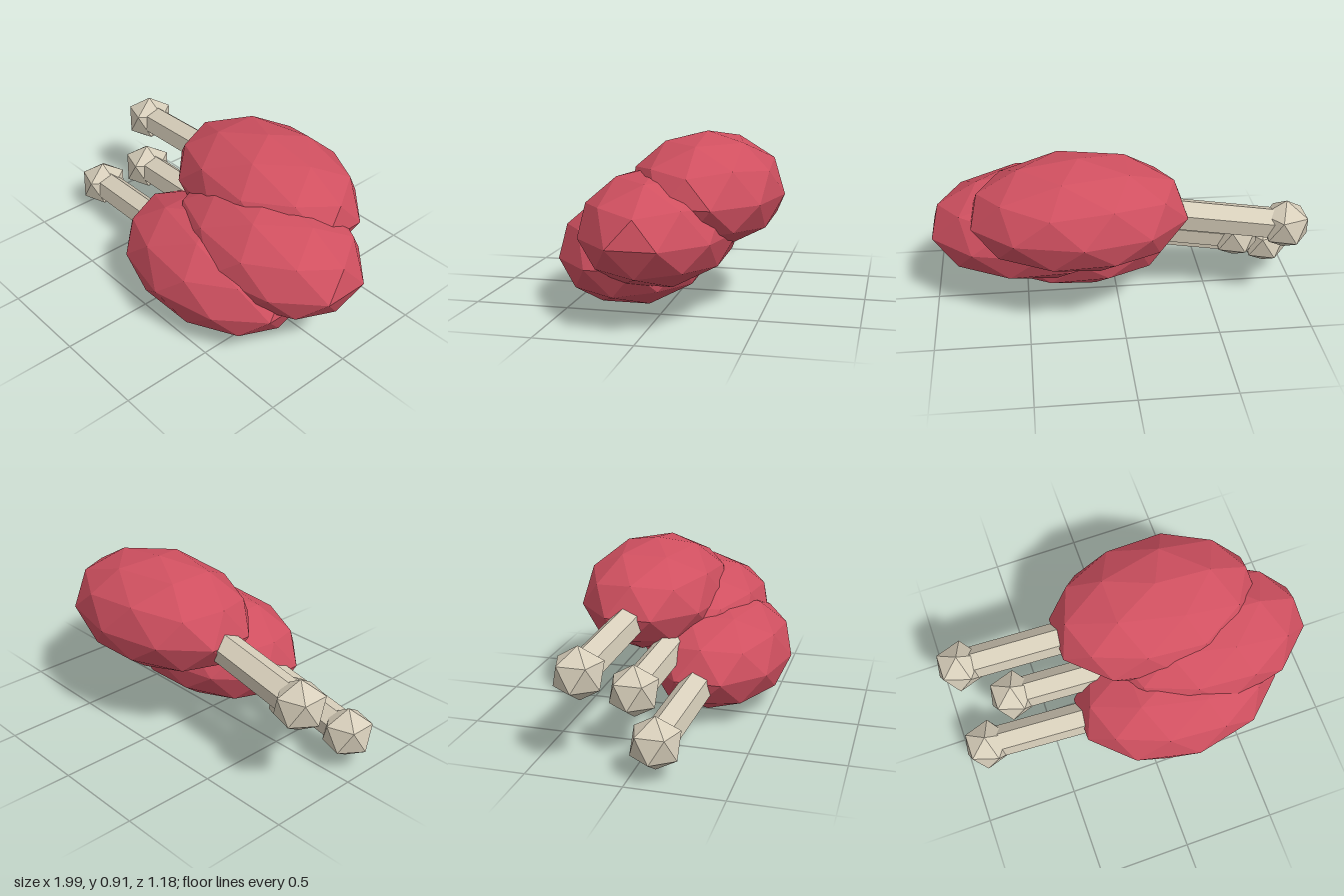
import * as THREE from 'three';

const meat = new THREE.MeshStandardMaterial({ color: 0xd05060, flatShading: true });
meat.name = 'meatRed';
const bone = new THREE.MeshStandardMaterial({ color: 0xd8cfbb, flatShading: true });
bone.name = 'boneCream';

// Icosphere standing on a vertex, with an upper ring vertex towards +x
function icosphere(detail) {
  const g = new THREE.IcosahedronGeometry(1, detail);
  g.rotateX(-Math.atan2(0.8507, 0.5257));
  g.rotateY(Math.PI / 2);
  return g;
}

// Meat: stretched icosphere, a little fuller above its widest line than below
function meatGeometry() {
  const g = icosphere(1);
  const p = g.attributes.position;
  for (let i = 0; i < p.count; i++) {
    const y = p.getY(i);
    p.setXYZ(i, p.getX(i) * 0.587, y * (y > 0 ? 0.314 : 0.281), p.getZ(i) * 0.402);
  }
  g.computeVertexNormals();
  return g;
}

// Six-sided shaft running from its knob at the origin towards +x
function shaftGeometry() {
  const g = new THREE.CylinderGeometry(0.088, 0.088, 0.9, 6, 1, false, Math.PI / 9);
  g.rotateZ(-Math.PI / 2);
  g.translate(0.45, 0, 0);
  return g;
}

export function createModel() {
  const model = new THREE.Group();
  model.name = 'drumsticks';
  const meatGeo = meatGeometry();
  const shaftGeo = shaftGeometry();
  const knobGeo = icosphere(0).scale(0.139, 0.139, 0.139);

  // Each drumstick is placed by the centre of its bone knob
  const places = [
    ['frontDrumstick', -0.875, 0.19, 0.125],
    ['middleDrumstick', -0.655, 0.348, -0.05],
    ['backDrumstick', -0.875, 0.505, -0.25],
  ];
  for (const [name, x, y, z] of places) {
    const stick = new THREE.Group();
    stick.name = name;
    stick.position.set(x, y, z);

    const body = new THREE.Mesh(meatGeo, meat);
    body.name = 'meat';
    body.position.set(1.092, 0.095, 0.065);

    const shaft = new THREE.Mesh(shaftGeo, bone);
    shaft.name = 'boneShaft';
    shaft.rotation.set(0, -0.09, 0.113, 'YXZ');

    const knob = new THREE.Mesh(knobGeo, bone);
    knob.name = 'boneKnob';

    stick.add(body, shaft, knob);
    model.add(stick);
  }
  return model;
}
